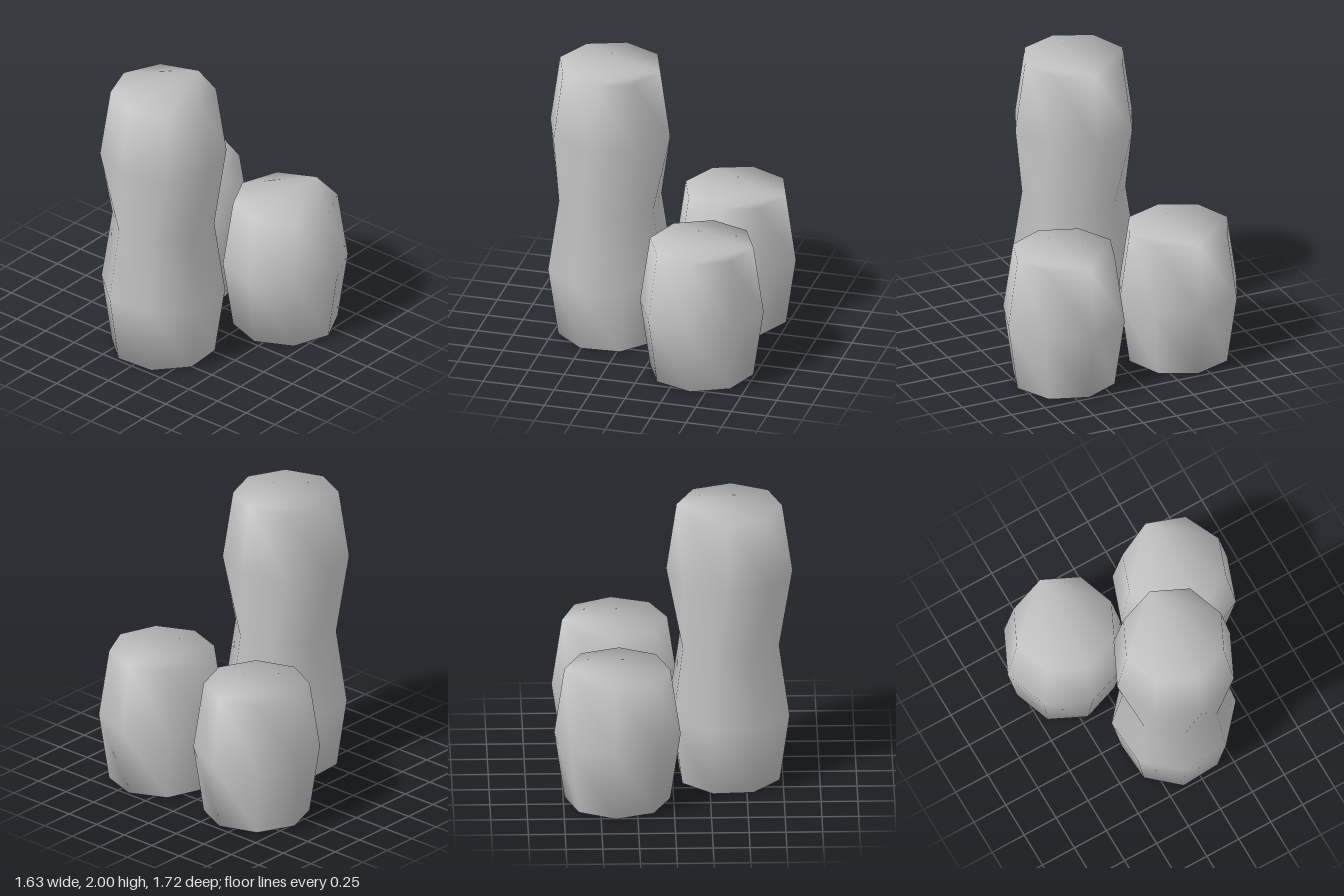
import * as THREE from 'three';

const SIDES = 8;

// Closed, smooth-shaded octagonal solid from rings of [y, radius, turn in degrees]
function ringSolid(rings) {
  const positions = [], index = [];
  for (const [y, radius, turn] of rings) {
    for (let j = 0; j < SIDES; j++) {
      const a = THREE.MathUtils.degToRad(turn + j * 360 / SIDES);
      positions.push(radius * Math.cos(a), y, radius * Math.sin(a));
    }
  }
  // side walls
  for (let i = 0; i < rings.length - 1; i++) {
    for (let j = 0; j < SIDES; j++) {
      const k = (j + 1) % SIDES;
      const a = i * SIDES + j, b = i * SIDES + k;
      const c = a + SIDES, d = b + SIDES;
      index.push(b, a, d, a, c, d);
    }
  }
  // bottom and top caps
  const top = (rings.length - 1) * SIDES;
  for (let j = 1; j < SIDES - 1; j++) {
    index.push(0, j, j + 1, top, top + j + 1, top + j);
  }
  const geometry = new THREE.BufferGeometry();
  geometry.setAttribute('position', new THREE.Float32BufferAttribute(positions, 3));
  geometry.setIndex(index);
  geometry.computeVertexNormals();
  return geometry;
}

export function createModel() {
  const model = new THREE.Group();
  const grey = new THREE.MeshStandardMaterial({ color: 0xc4c4c4 });
  grey.name = 'plain grey';

  function addPart(name, x, z, rings) {
    const mesh = new THREE.Mesh(ringSolid(rings), grey);
    mesh.name = name;
    mesh.position.set(x, 0, z);
    model.add(mesh);
    return mesh;
  }

  // two barrels stacked into one tall column, the upper one turned
  addPart('stackedBarrels', -0.388, -0.015, [
    [0, 0.36, 19], [0.49, 0.43, 19], [1.0, 0.355, 19], [1.52, 0.43, 3], [2.0, 0.36, 3],
  ]);

  // single barrels beside it
  addPart('frontBarrel', 0.382, 0.43, [
    [0.005, 0.36, -3], [0.485, 0.43, -3], [0.96, 0.36, -3],
  ]);
  addPart('backBarrel', 0.382, -0.432, [
    [0.015, 0.36, 3], [0.495, 0.43, 3], [0.97, 0.36, 3],
  ]);

  return model;
}
